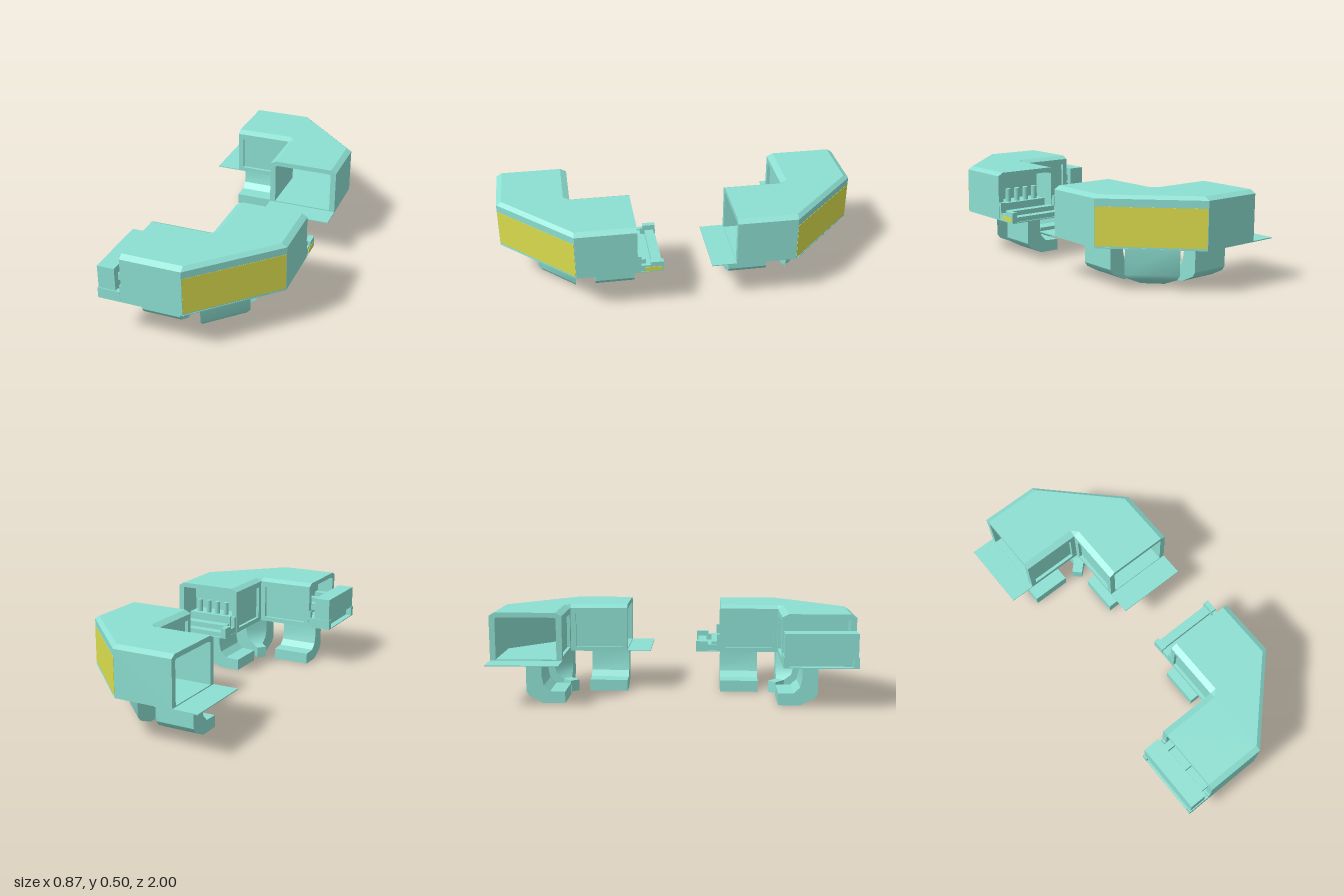
import * as THREE from 'three';
import { toCreasedNormals } from 'three/addons/utils/BufferGeometryUtils.js';

const teal = new THREE.MeshStandardMaterial({ color: 0x8cded1 });
const yellow = new THREE.MeshStandardMaterial({ color: 0xdadc4c });

function add(parent, name, geometry, material = teal) {
  const mesh = new THREE.Mesh(geometry, material);
  mesh.name = name;
  parent.add(mesh);
  return mesh;
}

// Box given by its limits on each axis
function box(parent, name, x0, x1, y0, y1, z0, z1, material) {
  const mesh = add(parent, name, new THREE.BoxGeometry(x1 - x0, y1 - y0, z1 - z0), material);
  mesh.position.set((x0 + x1) / 2, (y0 + y1) / 2, (z0 + z1) / 2);
  return mesh;
}

// Hollow section [t across, y] swept through the stations of the bent body
function shellGeometry() {
  const outer = [[0, 0.235], [0, 0.26], [0.045, 0.26], [0.045, 0.455], [0, 0.455], [0, 0.487],
    [0.085, 0.505], [0.925, 0.505], [1, 0.487], [1, 0.235]];
  const inner = [[0.08, 0.245], [0.08, 0.26], [0.08, 0.3], [0.08, 0.455], [0.08, 0.46], [0.08, 0.47],
    [0.1, 0.478], [0.9, 0.478], [0.92, 0.47], [0.92, 0.245]];
  // inner x, inner z, outer x, outer z
  const stations = [[-0.3, 0.6, -0.3, 1], [0.03, 0.6, 0.03, 1], [0.03, 0.6, 0.43, 0.6], [0.03, 0.27, 0.43, 0.27]];
  const at = (s, [t, y]) => [s[0] + (s[2] - s[0]) * t, y, s[1] + (s[3] - s[1]) * t];
  const pos = [];
  const quad = (a, b, c, d) => pos.push(...a, ...b, ...c, ...a, ...c, ...d);
  const n = outer.length;
  for (let i = 0; i < n; i++) {
    const j = (i + 1) % n;
    for (let k = 0; k < 3; k++) {
      const s = stations[k], e = stations[k + 1];
      quad(at(s, outer[i]), at(s, outer[j]), at(e, outer[j]), at(e, outer[i]));
      quad(at(s, inner[j]), at(s, inner[i]), at(e, inner[i]), at(e, inner[j]));
    }
    const s = stations[0], e = stations[3];
    quad(at(s, outer[i]), at(s, inner[i]), at(s, inner[j]), at(s, outer[j]));
    quad(at(e, outer[j]), at(e, inner[j]), at(e, inner[i]), at(e, outer[i]));
  }
  const geometry = new THREE.BufferGeometry();
  geometry.setAttribute('position', new THREE.Float32BufferAttribute(pos, 3));
  geometry.computeVertexNormals();
  return geometry;
}

// Hooked leg: side profile along x, half width given by a rule of the distance
function legGeometry(length, halfWidth) {
  const profile = [[0, 0], [0.39, 0], [0.56, 0], [0.92, 0.04], [1, 0.065], [1, 0.236], [0.6, 0.236],
    [0.6, 0.15], [0.55, 0.1], [0.39, 0.068], [0, 0.065]];
  const shape = new THREE.Shape(profile.map(([d, y]) => new THREE.Vector2(d * length, y)));
  const geometry = new THREE.ExtrudeGeometry(shape, { depth: 1, bevelEnabled: false });
  const p = geometry.attributes.position;
  for (let i = 0; i < p.count; i++) p.setZ(i, (p.getZ(i) - 0.5) * 2 * halfWidth(p.getX(i)));
  return toCreasedNormals(geometry, 0.6);
}

// Body, floor, panel and legs shared by both modules
function cornerModule(name) {
  const group = new THREE.Group();
  group.name = name;
  add(group, 'shell', shellGeometry());

  // Floor plate running out past both open ends
  const outline = [[-0.435, 1], [0.035, 1], [0.43, 0.6], [0.43, 0.13], [0.03, 0.13], [0.03, 0.6], [-0.435, 0.6]];
  const floor = new THREE.Shape(outline.map(([x, z]) => new THREE.Vector2(x, -z)));
  const floorGeometry = new THREE.ExtrudeGeometry(floor, { depth: 0.005, bevelEnabled: false });
  add(group, 'floorPlate', floorGeometry.rotateX(-Math.PI / 2)).position.y = 0.234;

  // Coloured panel on the diagonal face
  const panel = add(group, 'diagonalPanel', new THREE.BoxGeometry(0.56, 0.202, 0.003), yellow);
  panel.position.set(0.23, 0.346, 0.8);
  panel.rotation.y = Math.PI / 4;

  // Posts framing the recessed inner walls
  for (const x of [-0.3, 0]) box(group, 'recessPost', x, x + 0.03, 0.259, 0.456, 0.6, 0.62);
  for (const z of [0.27, 0.57]) box(group, 'recessPost', 0.03, 0.05, 0.259, 0.456, z, z + 0.03);

  // Two straight legs and the wedge leg under the corner
  const legA = add(group, 'straightLeg', legGeometry(0.215, () => 0.11));
  legA.position.set(-0.19, 0, 0.585);
  legA.rotation.y = -Math.PI / 2;
  const legB = add(group, 'straightLeg', legGeometry(0.215, () => 0.11));
  legB.position.set(0.018, 0, 0.38);
  const legC = add(group, 'cornerLeg', legGeometry(0.184, (d) => Math.max(0.03, d - 0.042)));
  legC.position.set(0.005, 0, 0.57);
  legC.rotation.y = -Math.PI / 4;
  return group;
}

// Connector tray and fittings at the narrow end
function trayConnector(parent) {
  const g = new THREE.Group();
  g.name = 'trayConnector';
  parent.add(g);
  for (const x of [0.03, 0.4]) {
    box(g, 'trayCheek', x, x + 0.03, 0.238, 0.295, 0.13, 0.2);
    box(g, 'trayRail', x + 0.004, x + 0.026, 0.238, 0.275, 0.2, 0.28);
    box(g, 'trayBracket', x + 0.002, x + 0.028, 0.238, 0.335, 0.25, 0.28);
  }
  box(g, 'trayMark', 0.428, 0.432, 0.242, 0.266, 0.14, 0.23, yellow);
  box(g, 'trayBar', 0.06, 0.4, 0.238, 0.265, 0.14, 0.19);
  box(g, 'trayStep', 0.08, 0.38, 0.238, 0.285, 0.22, 0.27);
  box(g, 'innerBlock', 0.09, 0.37, 0.239, 0.32, 0.3, 0.42);
  box(g, 'innerBack', 0.06, 0.4, 0.239, 0.478, 0.42, 0.44);
  for (let i = 0; i < 4; i++) {
    const post = add(g, 'innerPost', new THREE.CylinderGeometry(0.016, 0.016, 0.08, 10));
    post.position.set(0.14 + i * 0.06, 0.355, 0.34);
  }
}

// Sliding bar and its carrier at the wide end
function barConnector(parent) {
  const g = new THREE.Group();
  g.name = 'barConnector';
  parent.add(g);
  box(g, 'slidingBar', -0.43, -0.335, 0.292, 0.42, 0.605, 0.995);
  for (const z of [0.6, 0.97]) {
    box(g, 'carrierCheek', -0.435, -0.31, 0.238, 0.293, z, z + 0.03);
    box(g, 'carrierBracket', -0.31, -0.29, 0.238, 0.333, z + 0.001, z + 0.029);
  }
  box(g, 'carrierBeam', -0.40, -0.35, 0.238, 0.293, 0.63, 0.97);
  for (const z of [0.64, 0.78, 0.92]) box(g, 'barArm', -0.34, -0.2, 0.336, 0.376, z, z + 0.04);
  box(g, 'innerBack', -0.2, -0.18, 0.239, 0.478, 0.63, 0.97);
}

export function createModel() {
  const model = new THREE.Group();
  model.name = 'cornerModulePair';
  const front = cornerModule('frontModule');
  trayConnector(front);
  barConnector(front);
  // The rear module is the same bend turned a quarter
  const rear = cornerModule('rearModule');
  rear.rotation.y = Math.PI / 2;
  rear.position.set(-0.57, 0, -0.57);
  model.add(front, rear);
  return model;
}
